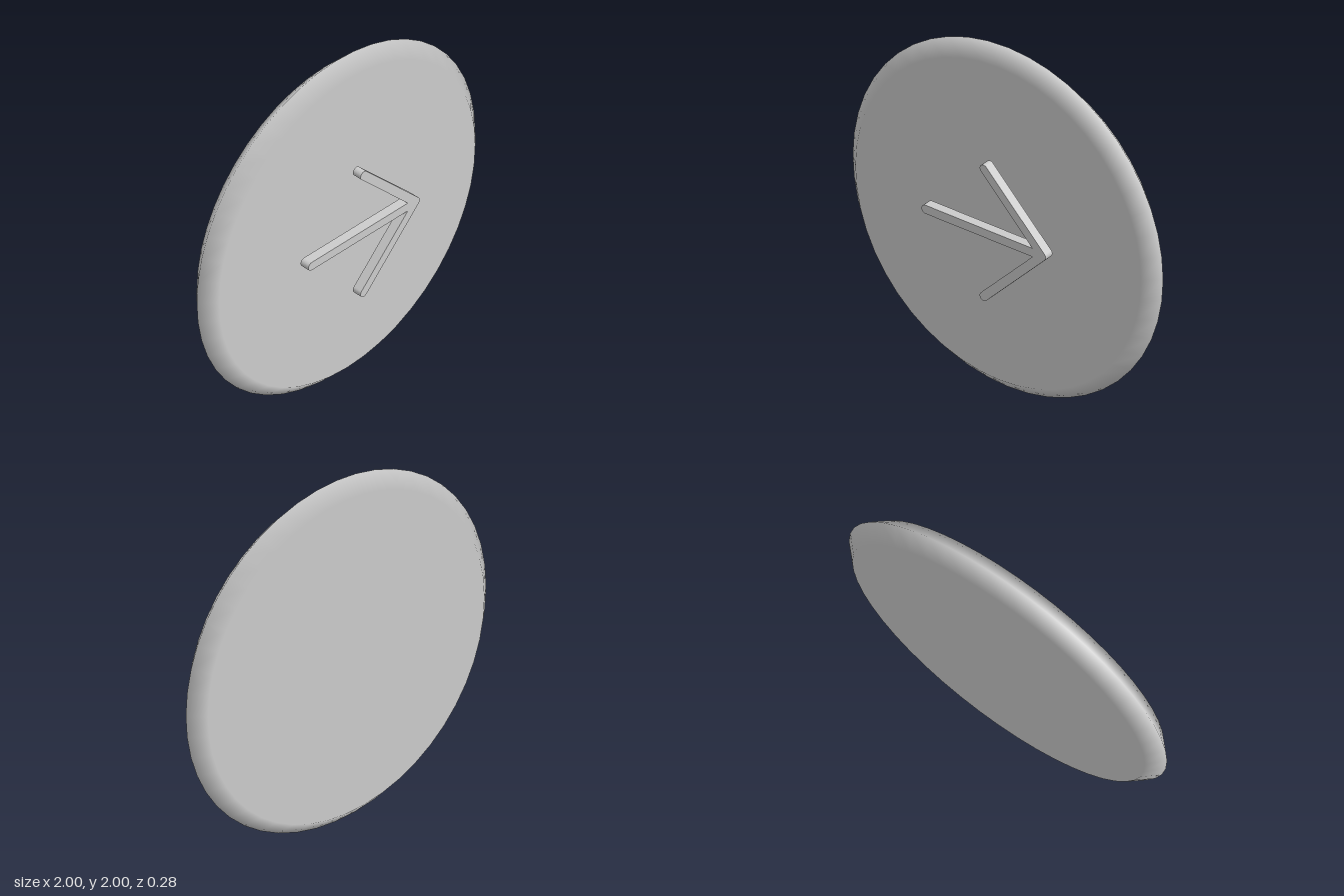
import * as THREE from 'three';

const DISC_Z = -0.06;
const HALF_DEPTH = 0.08;

// Flat disc with a pointed rim whose shading rolls softly from face to ridge
function discGeometry() {
  const profile = [[0, -HALF_DEPTH], [0.92, -HALF_DEPTH], [1, 0], [0.92, HALF_DEPTH], [0, HALF_DEPTH]]
    .map(([r, h]) => new THREE.Vector2(r, h));
  const geo = new THREE.LatheGeometry(profile, 48);
  geo.rotateX(Math.PI / 2);
  const { position, normal } = geo.attributes;
  for (let i = 0; i < position.count; i++) {
    const z = position.getZ(i);
    if (Math.abs(z) > 0.01) normal.setXYZ(i, 0, 0, Math.sign(z));
    else normal.setXYZ(i, position.getX(i), position.getY(i), 0);
  }
  return geo;
}

// Arrow outline of one stroke width, with round ends and a round tip
function arrowGeometry() {
  const r = 0.025, reach = 0.375, deg = Math.PI / 180;
  const notch = reach - r - r * Math.SQRT2;
  const shape = new THREE.Shape();
  shape.moveTo(-reach, -r);
  shape.lineTo(notch, -r);
  shape.absarc(0, -reach, r, 135 * deg, 315 * deg, false);
  shape.absarc(reach, 0, r, -45 * deg, 45 * deg, false);
  shape.absarc(0, reach, r, 45 * deg, 225 * deg, false);
  shape.lineTo(notch, r);
  shape.absarc(-reach, 0, r, 90 * deg, 270 * deg, false);
  return new THREE.ExtrudeGeometry(shape, { depth: 0.055, bevelEnabled: false, curveSegments: 8 });
}

export function createModel() {
  const group = new THREE.Group();
  group.name = 'arrowButton';
  const material = new THREE.MeshStandardMaterial({ color: 0xcccccc });

  const disc = new THREE.Mesh(discGeometry(), material);
  disc.name = 'disc';
  disc.position.set(0, 1, DISC_Z);

  // The arrow floats just in front of the disc
  const arrow = new THREE.Mesh(arrowGeometry(), material);
  arrow.name = 'arrow';
  arrow.position.set(0, 1, 0.085);

  group.add(disc, arrow);
  return group;
}
